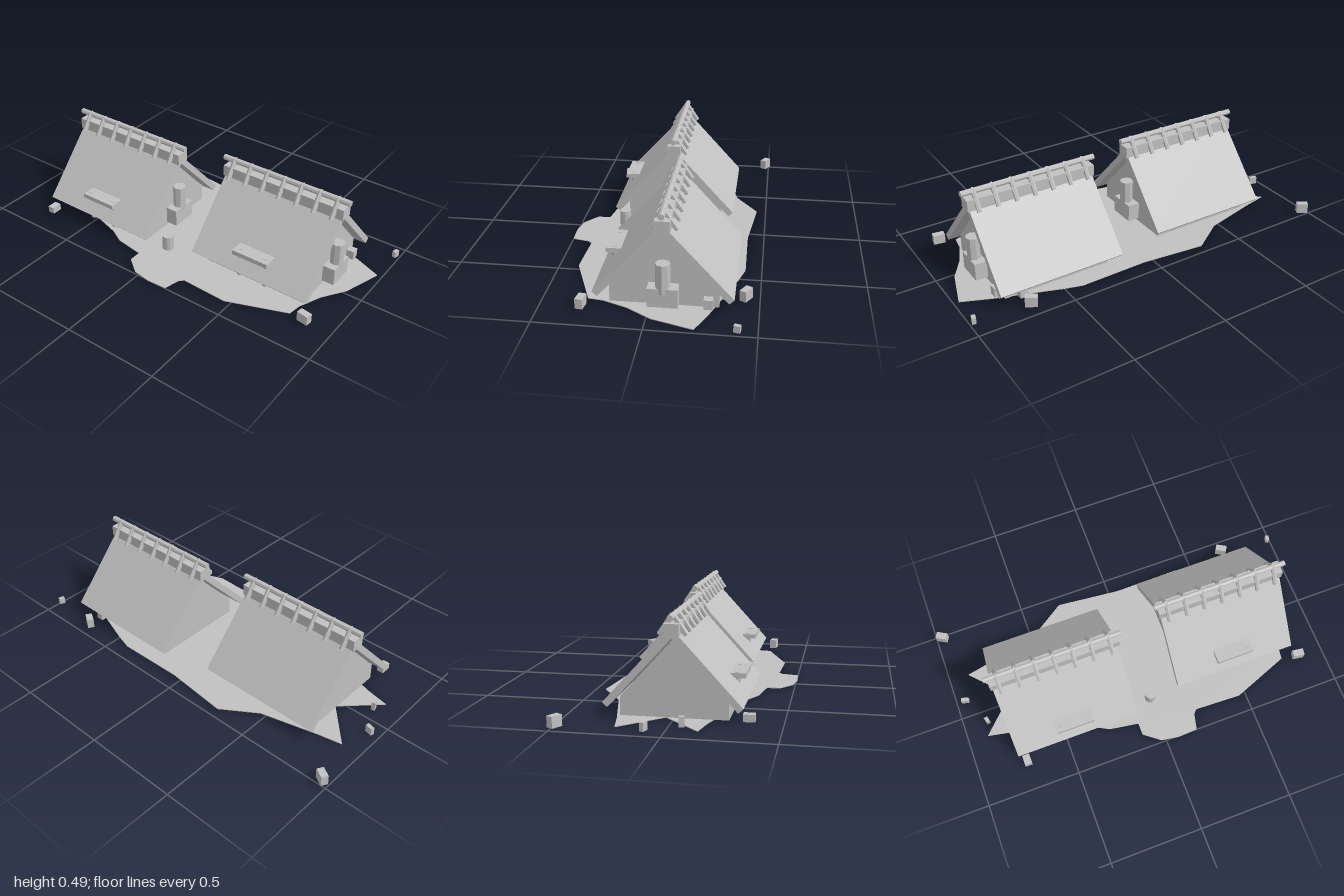
import * as THREE from 'three';

const stone = new THREE.MeshStandardMaterial({ color: 0xc0c0c0, flatShading: true });
stone.name = 'pale grey';

function add(parent, name, geometry, x, y, z) {
  const mesh = new THREE.Mesh(geometry, stone);
  mesh.name = name;
  mesh.position.set(x, y, z);
  parent.add(mesh);
  return mesh;
}
const box = (w, h, d) => new THREE.BoxGeometry(w, h, d);
const cyl = (r, h, sides = 8) => new THREE.CylinderGeometry(r, r, h, sides);

// One longhouse, with its ridge running along x
function createHouse() {
  const house = new THREE.Group();
  house.name = 'house';

  // Plinth and triangular gable body
  add(house, 'base', box(0.57, 0.093, 0.505), 0, 0.0505, 0);
  const gable = new THREE.Shape([
    new THREE.Vector2(-0.25, 0.095), new THREE.Vector2(0.25, 0.095), new THREE.Vector2(0, 0.37),
  ]);
  const body = new THREE.ExtrudeGeometry(gable, { depth: 0.57, bevelEnabled: false });
  body.translate(0, 0, -0.285).rotateY(Math.PI / 2);
  add(house, 'gableBody', body, 0, 0, 0);

  // Roof slopes
  const slope = Math.atan2(0.352, 0.323);
  for (const s of [1, -1]) {
    add(house, 'roofPanel', box(0.67, 0.032, 0.478), 0, 0.24, s * 0.15).rotation.x = s * slope;
  }

  // Ridge cap, ridge log and crossed sticks
  add(house, 'ridgeCap', box(0.69, 0.059, 0.07), 0, 0.4175, 0);
  add(house, 'ridgeLog', cyl(0.015, 0.725), 0, 0.475, 0).rotation.z = Math.PI / 2;
  const lean = Math.atan2(0.062, 0.092);
  for (let i = -3; i <= 3; i++) {
    for (const s of [1, -1]) {
      add(house, 'ridgeStick', cyl(0.0125, 0.112, 6), i * 0.099, 0.437, s * 0.032).rotation.x = -s * lean;
    }
  }

  // Bench in front, its legs running down through the eave
  add(house, 'benchSeat', box(0.203, 0.024, 0.075), 0, 0.167, 0.266);
  for (const s of [1, -1]) {
    add(house, 'benchLeg', cyl(0.015, 0.165), s * 0.075, 0.0985, 0.262);
  }
  add(house, 'frontStep', box(0.15, 0.03, 0.02), 0, 0.034, 0.258);

  // Hearth and flue at the end wall
  add(house, 'hearth', box(0.08, 0.092, 0.14), 0.31, 0.069, 0);
  add(house, 'flue', cyl(0.035, 0.145), 0.321, 0.1605, 0);
  return house;
}

export function createModel() {
  const model = new THREE.Group();
  model.name = 'settlement';

  // Irregular ground patch, given as x, z
  const outline = [
    [-0.29, -0.45], [0.05, -0.415], [0.41, -0.42], [0.5, -0.395], [0.83, -0.28], [0.975, -0.22],
    [0.91, -0.02], [0.83, 0.1], [0.78, 0.22], [0.77, 0.29], [0.465, 0.405], [0.215, 0.395],
    [0.195, 0.415], [0.175, 0.5], [0.07, 0.505], [-0.025, 0.49], [-0.11, 0.425], [-0.11, 0.36],
    [-0.265, 0.335], [-0.35, 0.29], [-0.77, 0.165], [-0.895, 0.14], [-0.715, -0.04],
    [-0.895, -0.23], [-0.77, -0.255], [-0.47, -0.33],
  ];
  const shape = new THREE.Shape(outline.map(([x, z]) => new THREE.Vector2(x, -z)));
  const ground = new THREE.ExtrudeGeometry(shape, { depth: 0.004, bevelEnabled: false });
  ground.rotateX(-Math.PI / 2);
  add(model, 'ground', ground, 0, 0, 0);

  // Two matching houses
  for (const [x, z] of [[-0.436, 0], [0.495, -0.065]]) {
    const house = createHouse();
    house.position.set(x, 0, z);
    model.add(house);
  }

  // Barrel between the houses
  add(model, 'barrel', cyl(0.03, 0.08, 12), 0, 0.065, 0.25);

  // Scattered stones: x, z, width, height, depth, turn
  const stones = [
    [-0.965, -0.48, 0.058, 0.053, 0.036, -0.52], [-0.95, -0.085, 0.04, 0.04, 0.02, -0.25],
    [-0.87, 0.065, 0.02, 0.048, 0.026, 0.25], [-0.735, 0.346, 0.038, 0.035, 0.055, 0],
    [0.7, -0.435, 0.06, 0.053, 0.035, -0.52], [0.982, -0.41, 0.02, 0.034, 0.03, -0.25],
    [0.855, 0.305, 0.06, 0.05, 0.036, -0.14], [0.8, -0.27, 0.04, 0.048, 0.042, 0],
    [0.7, -0.345, 0.04, 0.042, 0.04, 0],
  ];
  for (const [x, z, w, h, d, turn] of stones) {
    add(model, 'stone', box(w, h, d), x, 0.011 + h / 2, z).rotation.y = turn;
  }
  return model;
}
